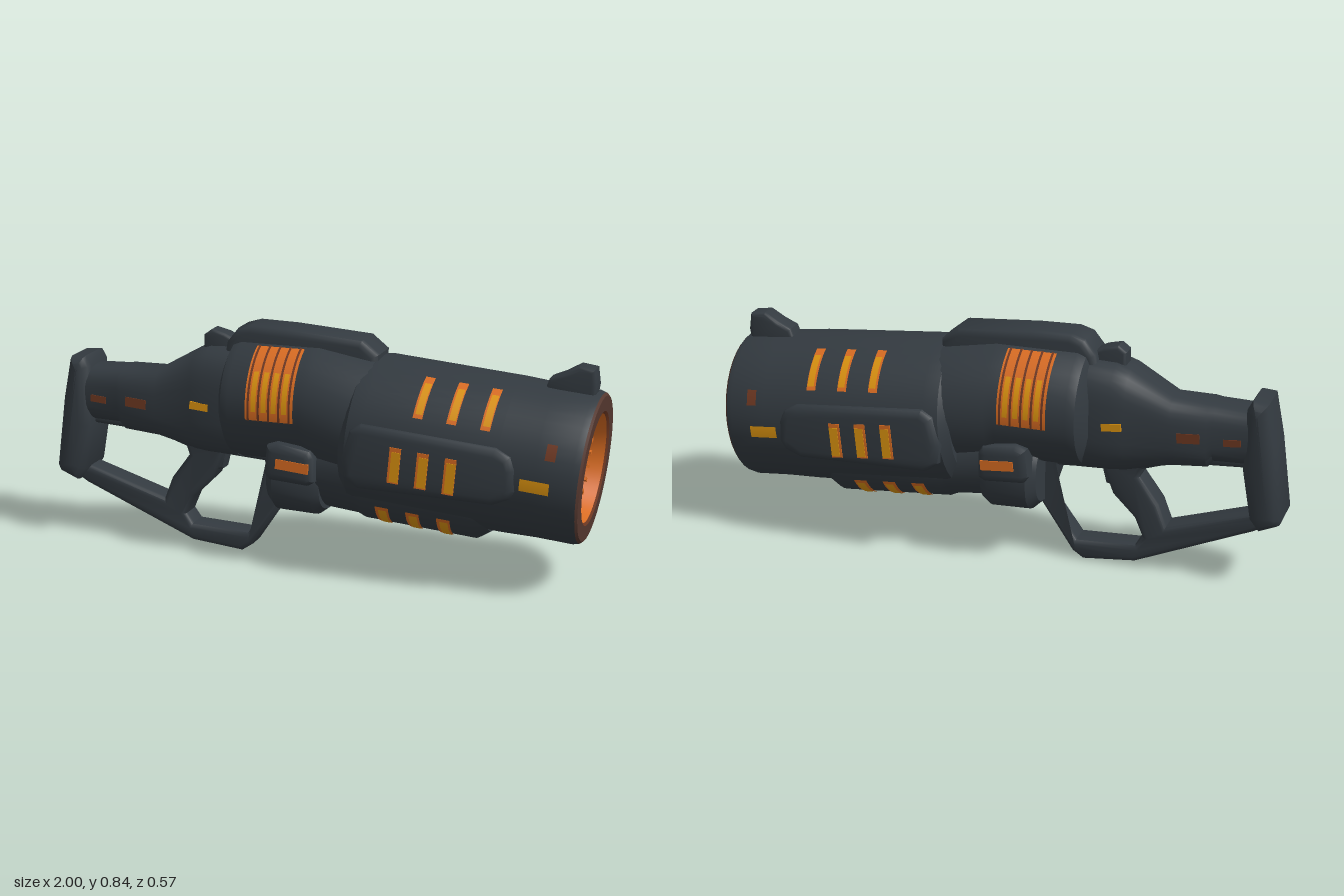
import * as THREE from 'three';
import { toCreasedNormals } from 'three/addons/utils/BufferGeometryUtils.js';

const TILT = -0.087;

export function createModel() {
  const root = new THREE.Group();
  root.name = 'blaster';
  // Barrel parts share a frame whose x axis runs along the drooping bore
  const barrel = new THREE.Group();
  barrel.name = 'barrelAssembly';
  barrel.position.set(0.3, 0.487, 0);
  barrel.rotation.z = TILT;
  root.add(barrel);

  const paint = (name, color) => {
    const m = new THREE.MeshStandardMaterial({ color });
    m.name = name;
    return m;
  };
  const body = paint('gunmetal', 0x333a40);
  const brown = paint('scorchedRim', 0x55382f);
  const rust = paint('darkRust', 0x6e3822);
  const orange = paint('orangeGlow', 0xd96c22);
  const amber = paint('amberGlow', 0xdc9310);
  const core = paint('coreAmber', 0xee9c0a);
  const pale = paint('coreGlow', 0xe2b026);

  const add = (name, geo, mat, parent = root) => {
    const mesh = new THREE.Mesh(geo, mat);
    mesh.name = name;
    parent.add(mesh);
    return mesh;
  };

  // Side-profile slab centred on z = 0, with rounded edges
  const slab = (name, pts, half, bevel, holes = []) => {
    const toVecs = (list) => list.map(([x, y]) => new THREE.Vector2(x, y));
    const shape = new THREE.Shape(toVecs(pts));
    holes.forEach((h) => shape.holes.push(new THREE.Path(toVecs(h))));
    const geo = new THREE.ExtrudeGeometry(shape, {
      depth: 2 * (half - bevel), bevelThickness: bevel, bevelSize: bevel,
      bevelOffset: -bevel, bevelSegments: 3,
    });
    geo.translate(0, 0, bevel - half);
    return add(name, toCreasedNormals(geo, 0.7), body);
  };

  // Superellipse cross-sections [x, centreY, halfY, halfZ] joined along x
  const loft = (name, sections, power, parent = root) => {
    const n = 32, pos = [], idx = [];
    const bend = (v) => Math.sign(v) * Math.abs(v) ** (2 / power);
    for (const [x, yc, hy, hz] of sections) {
      for (let i = 0; i < n; i++) {
        const a = (i / n) * Math.PI * 2;
        pos.push(x, yc + hy * bend(Math.sin(a)), hz * bend(Math.cos(a)));
      }
    }
    const last = (sections.length - 1) * n;
    for (let s = 0; s < last; s += n) {
      for (let i = 0; i < n; i++) {
        const a = s + i, b = s + ((i + 1) % n);
        idx.push(a, a + n, b, b, a + n, b + n);
      }
    }
    for (let i = 1; i < n - 1; i++) idx.push(0, i, i + 1, last, last + i + 1, last + i);
    const geo = new THREE.BufferGeometry();
    geo.setAttribute('position', new THREE.Float32BufferAttribute(pos, 3));
    geo.setIndex(idx);
    return add(name, toCreasedNormals(geo, 0.6), body, parent);
  };

  // Curved glowing strip on both flanks: elevation from..to in degrees
  const band = (name, x, y, width, ry, rz, from, to, mat, parent) => {
    const a0 = THREE.MathUtils.degToRad(from), a1 = THREE.MathUtils.degToRad(to);
    for (const [side, start] of [['Left', a0], ['Right', Math.PI - a1]]) {
      const geo = new THREE.CylinderGeometry(1, 1, width, 14, 1, true, start, a1 - a0);
      geo.rotateZ(Math.PI / 2);
      geo.scale(1, ry, rz);
      geo.translate(x, y, 0);
      add(name + side, geo, mat, parent);
    }
  };

  // Flat glowing plate on both flanks
  const plate = (name, x, y, z, w, h, mat) => {
    for (const s of [1, -1]) {
      const m = add(name, new THREE.BoxGeometry(w, h, 0.008), mat);
      m.position.set(x, y, s * z);
      m.rotation.z = TILT;
    }
  };

  const lathe = (name, pts, mat) => {
    const geo = new THREE.LatheGeometry(pts.map(([x, r]) => new THREE.Vector2(r, x)), 40);
    geo.rotateZ(-Math.PI / 2);
    return add(name, toCreasedNormals(geo, 0.6), mat, barrel);
  };

  // Stock, hand loop and grip
  slab('handFrame', [[-0.98, 0.25], [-0.9, 0.2], [-0.48, 0.022], [-0.29, 0.003], [-0.25, 0.03],
    [-0.13, 0.21], [-0.13, 0.44], [-0.93, 0.48]], 0.052, 0.018, [
    [[-0.885, 0.265], [-0.855, 0.43], [-0.62, 0.415], [-0.5, 0.375], [-0.49, 0.345], [-0.56, 0.25], [-0.59, 0.172]],
    [[-0.48, 0.085], [-0.505, 0.12], [-0.475, 0.19], [-0.395, 0.27], [-0.36, 0.36], [-0.2, 0.35], [-0.16, 0.22],
      [-0.265, 0.075]],
  ]);
  slab('trigger', [[-0.43, 0.4], [-0.34, 0.4], [-0.365, 0.3], [-0.4, 0.29]], 0.03, 0.01);
  slab('buttPlate', [[-1, 0.27], [-0.965, 0.53], [-0.935, 0.68], [-0.88, 0.685], [-0.86, 0.65],
    [-0.855, 0.43], [-0.885, 0.26], [-0.92, 0.215], [-0.99, 0.245]], 0.105, 0.044);
  loft('stockNeck', [[-0.9, 0.545, 0.1, 0.092], [-0.75, 0.545, 0.105, 0.094], [-0.73, 0.535, 0.118, 0.102],
    [-0.6, 0.53, 0.125, 0.102], [-0.45, 0.555, 0.185, 0.13], [-0.4, 0.56, 0.195, 0.14],
    [-0.28, 0.56, 0.2, 0.14]], 3);
  plate('stockMark', -0.82, 0.535, 0.092, 0.06, 0.025, rust);
  plate('stockMark', -0.67, 0.535, 0.1, 0.08, 0.035, rust);
  plate('neckLight', -0.41, 0.555, 0.136, 0.07, 0.027, amber);

  // Receiver with top rail and rear sight
  loft('receiver', [[-0.33, 0.57, 0.16, 0.15], [-0.3, 0.578, 0.21, 0.21], [-0.27, 0.58, 0.22, 0.22],
    [-0.01, 0.58, 0.22, 0.22], [0.02, 0.57, 0.23, 0.23], [0.22, 0.53, 0.235, 0.235]], 2);
  slab('topRail', [[-0.35, 0.68], [-0.33, 0.78], [-0.29, 0.83], [-0.24, 0.845], [-0.1, 0.842],
    [0.17, 0.823], [0.23, 0.775], [0.23, 0.68]], 0.075, 0.026);
  slab('rearSight', [[-0.43, 0.7], [-0.43, 0.79], [-0.4, 0.812], [-0.35, 0.8], [-0.29, 0.77], [-0.29, 0.68]], 0.036, 0.012);

  // Ribbed glow windows on the receiver flanks
  band('receiverWindow', -0.115, 0.58, 0.175, 0.224, 0.224, -8, 65, orange, root);
  for (let i = 0; i < 5; i++) {
    band('windowRib', -0.19 + i * 0.0375, 0.58, 0.008, 0.228, 0.228, -8, 65, rust, root);
    if (i < 4) band('windowGlow', -0.171 + i * 0.0375, 0.58, 0.018, 0.227, 0.227, 0, 36, amber, root);
  }

  // Lower receiver block with its vents
  loft('lowerBlock', [[-0.15, 0.33, 0.115, 0.16], [-0.12, 0.325, 0.138, 0.19], [0.02, 0.32, 0.138, 0.19],
    [0.05, 0.32, 0.115, 0.175]], 2.6);
  slab('ventHousing', [[-0.14, 0.36], [-0.13, 0.46], [-0.09, 0.475], [0.03, 0.455], [0.045, 0.43],
    [0.045, 0.34], [0.02, 0.325], [-0.12, 0.335]], 0.225, 0.03);
  plate('housingVent', -0.03, 0.397, 0.225, 0.12, 0.035, orange);

  // Barrel shell and under-barrel
  lathe('barrelShell', [[-0.16, 0], [-0.16, 0.23], [-0.13, 0.262], [-0.08, 0.271], [0.4, 0.271],
    [0.53, 0.266], [0.655, 0.266], [0.676, 0.26]], body);
  loft('underBarrel', [[-0.4, -0.13, 0.13, 0.15], [-0.37, -0.13, 0.17, 0.185], [-0.11, -0.13, 0.175, 0.19],
    [-0.08, -0.13, 0.185, 0.205], [0.32, -0.13, 0.183, 0.205], [0.365, -0.13, 0.15, 0.18]], 2, barrel);

  // Muzzle: rim, ribbed throat and glowing core
  lathe('muzzleRim', [[0.676, 0.26], [0.684, 0.252], [0.684, 0.198]], brown);
  lathe('throatEdge', [[0.684, 0.198], [0.677, 0.188]], rust);
  lathe('throat', [[0.677, 0.188], [0.61, 0.172], [0.585, 0.14]], orange);
  lathe('coreDisc', [[0.585, 0.14], [0.582, 0.088]], core);
  lathe('coreCentre', [[0.582, 0.088], [0.585, 0]], pale);
  for (let i = 0; i < 22; i++) {
    const a = (i / 22) * Math.PI * 2;
    const rib = add('throatRib', new THREE.BoxGeometry(0.05, 0.022, 0.012), orange, barrel);
    rib.position.set(0.61, 0.165 * Math.sin(a), 0.165 * Math.cos(a));
    rib.rotation.x = Math.PI / 2 - a;
  }

  // Front sight
  slab('frontSight', [[0.8, 0.68], [0.82, 0.735], [0.87, 0.757], [0.92, 0.786], [0.975, 0.778],
    [0.983, 0.72], [0.975, 0.67]], 0.04, 0.014);

  // Side armour panels
  slab('sidePanel', [[0.16, 0.46], [0.19, 0.56], [0.23, 0.585], [0.7, 0.545], [0.75, 0.52], [0.77, 0.475],
    [0.77, 0.4], [0.75, 0.37], [0.69, 0.345], [0.22, 0.355], [0.17, 0.39]], 0.28, 0.03);
  for (let i = 0; i < 3; i++) {
    plate('panelVent', 0.355 + i * 0.096, 0.455 - i * 0.01, 0.279, 0.04, 0.125, orange);
    plate('panelVentGlow', 0.358 + i * 0.096, 0.45 - i * 0.01, 0.281, 0.031, 0.105, amber);
    // Slits wrapping the barrel and under-barrel
    band('upperSlit', 0.11 + i * 0.117, 0, 0.034, 0.2735, 0.2735, 30, 66, orange, barrel);
    band('upperSlitGlow', 0.112 + i * 0.117, 0, 0.024, 0.275, 0.275, 33, 59, amber, barrel);
    band('lowerSlit', 0.0 + i * 0.11, -0.13, 0.048, 0.187, 0.208, -78, -28, orange, barrel);
    band('lowerSlitGlow', 0.002 + i * 0.11, -0.13, 0.03, 0.189, 0.21, -74, -32, amber, barrel);
  }
  band('muzzleVent', 0.535, 0, 0.1, 0.2685, 0.2685, -8, 1, amber, barrel);
  band('muzzleMark', 0.575, 0, 0.035, 0.268, 0.268, 17, 29, rust, barrel);

  return root;
}
